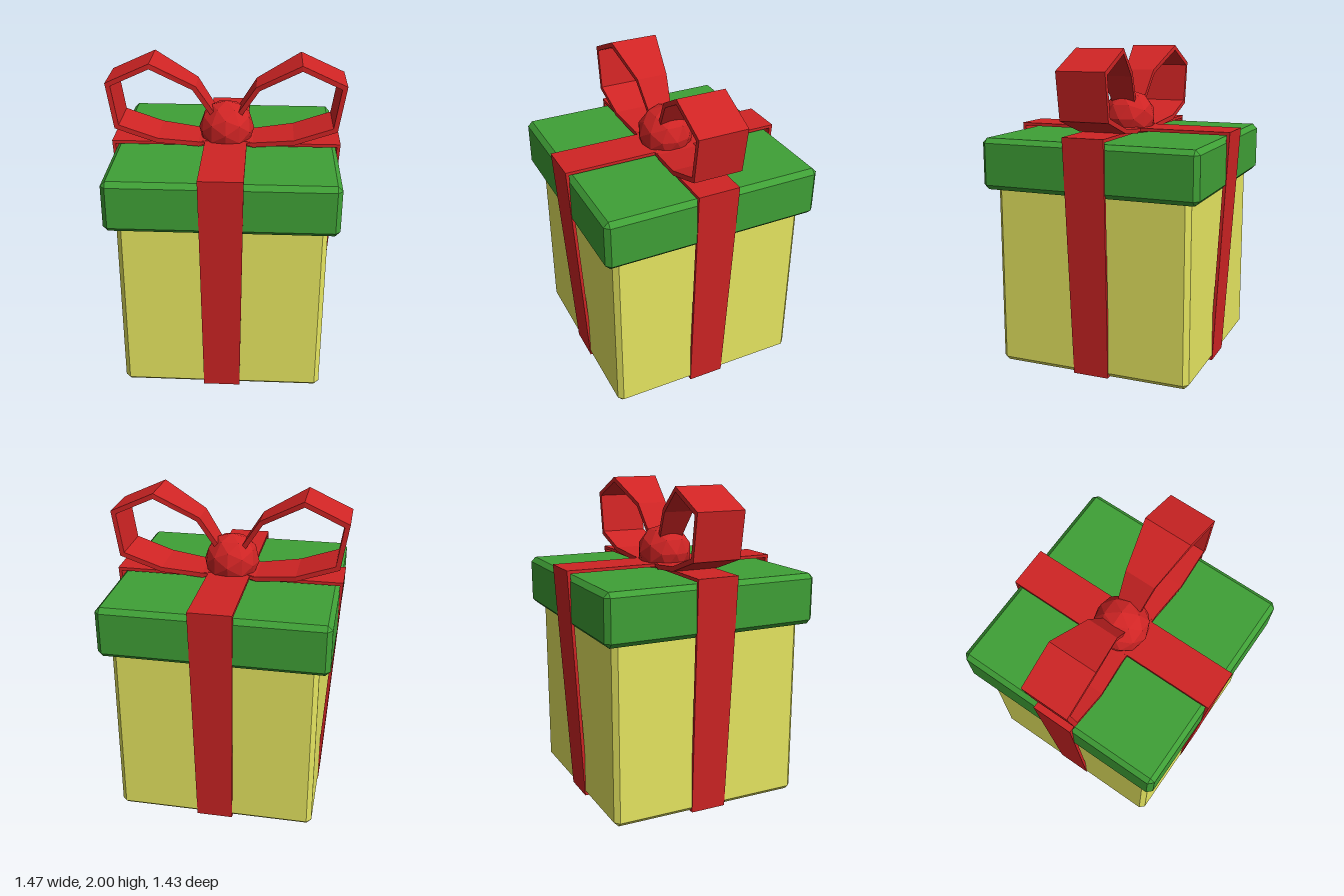
import * as THREE from 'three';
import { ConvexGeometry } from 'three/addons/geometries/ConvexGeometry.js';

const paint = (color) => new THREE.MeshStandardMaterial({ color, flatShading: true });

// Box with chamfered edges, half width w, from y0 to y1, chamfer c
function chamferBox(w, y0, y1, c) {
  const h = (y1 - y0) / 2, pts = [];
  for (const sx of [-1, 1]) for (const sy of [-1, 1]) for (const sz of [-1, 1]) {
    pts.push(
      new THREE.Vector3(sx * w, sy * (h - c), sz * (w - c)),
      new THREE.Vector3(sx * (w - c), sy * h, sz * (w - c)),
      new THREE.Vector3(sx * (w - c), sy * (h - c), sz * w));
  }
  return new ConvexGeometry(pts).translate(0, (y0 + y1) / 2, 0);
}

// Flat band of given thickness along a clockwise path of [x, y, half width] points,
// thickened towards the inside of the path
function band(path, thickness, closed) {
  const n = path.length, pos = [], index = [];
  const dir = (a, b) => new THREE.Vector2(b[0] - a[0], b[1] - a[1]).normalize();
  path.forEach((p, i) => {
    const prev = closed || i > 0 ? dir(path[(i + n - 1) % n], p) : null;
    const next = closed || i < n - 1 ? dir(p, path[(i + 1) % n]) : null;
    const a = prev || next, b = next || prev;
    // mitred inward offset
    const m = new THREE.Vector2(a.y + b.y, -a.x - b.x).normalize();
    const k = thickness / (m.x * a.y - m.y * a.x);
    const [x, y, w] = p, ix = x + m.x * k, iy = y + m.y * k;
    pos.push(x, y, w, x, y, -w, ix, iy, -w, ix, iy, w);
  });
  for (let i = 0; i < (closed ? n : n - 1); i++) {
    for (let j = 0; j < 4; j++) {
      const a = i * 4 + j, b = i * 4 + (j + 1) % 4;
      const c = ((i + 1) % n) * 4 + j, d = ((i + 1) % n) * 4 + (j + 1) % 4;
      index.push(a, c, b, b, c, d);
    }
  }
  if (!closed) {
    const e = (n - 1) * 4;
    index.push(0, 1, 2, 0, 2, 3, e, e + 2, e + 1, e, e + 3, e + 2);
  }
  const g = new THREE.BufferGeometry();
  g.setAttribute('position', new THREE.Float32BufferAttribute(pos, 3));
  g.setIndex(index);
  const flat = g.toNonIndexed();
  flat.computeVertexNormals();
  return flat;
}

export function createModel() {
  const group = new THREE.Group();
  const yellow = paint(0xe6e660), green = paint(0x3fa036), red = paint(0xd02424);
  const add = (name, geometry, material, turn = 0) => {
    const mesh = new THREE.Mesh(geometry, material);
    mesh.name = name;
    mesh.rotation.y = turn;
    group.add(mesh);
  };

  // Box and lid
  add('boxBody', chamferBox(0.628, 0.003, 1.2, 0.03), yellow);
  add('lid', chamferBox(0.695, 1.14, 1.46, 0.03), green);

  // Two crossing ribbons, wider towards the top
  const wrap = band([
    [-0.63, 0, 0.115], [-0.715, 1.495, 0.132], [0.715, 1.495, 0.132], [0.63, 0, 0.115],
  ], 0.02, true);
  add('ribbonAcross', wrap, red);
  add('ribbonFrontToBack', wrap, red, Math.PI / 2);

  // Bow loops, pinched at the knot
  const loop = band([
    [0.06, 1.65, 0.075], [0.185, 1.845, 0.1], [0.46, 2.0, 0.155], [0.735, 1.875, 0.155],
    [0.69, 1.585, 0.155], [0.43, 1.495, 0.155], [0.17, 1.465, 0.13], [0.03, 1.475, 0.08],
  ], 0.03, false);
  add('bowLoopLeft', loop, red);
  add('bowLoopRight', loop, red, Math.PI);

  // Knot
  add('bowKnot', new THREE.IcosahedronGeometry(0.175, 1).translate(0, 1.55, 0), red);

  return group;
}
